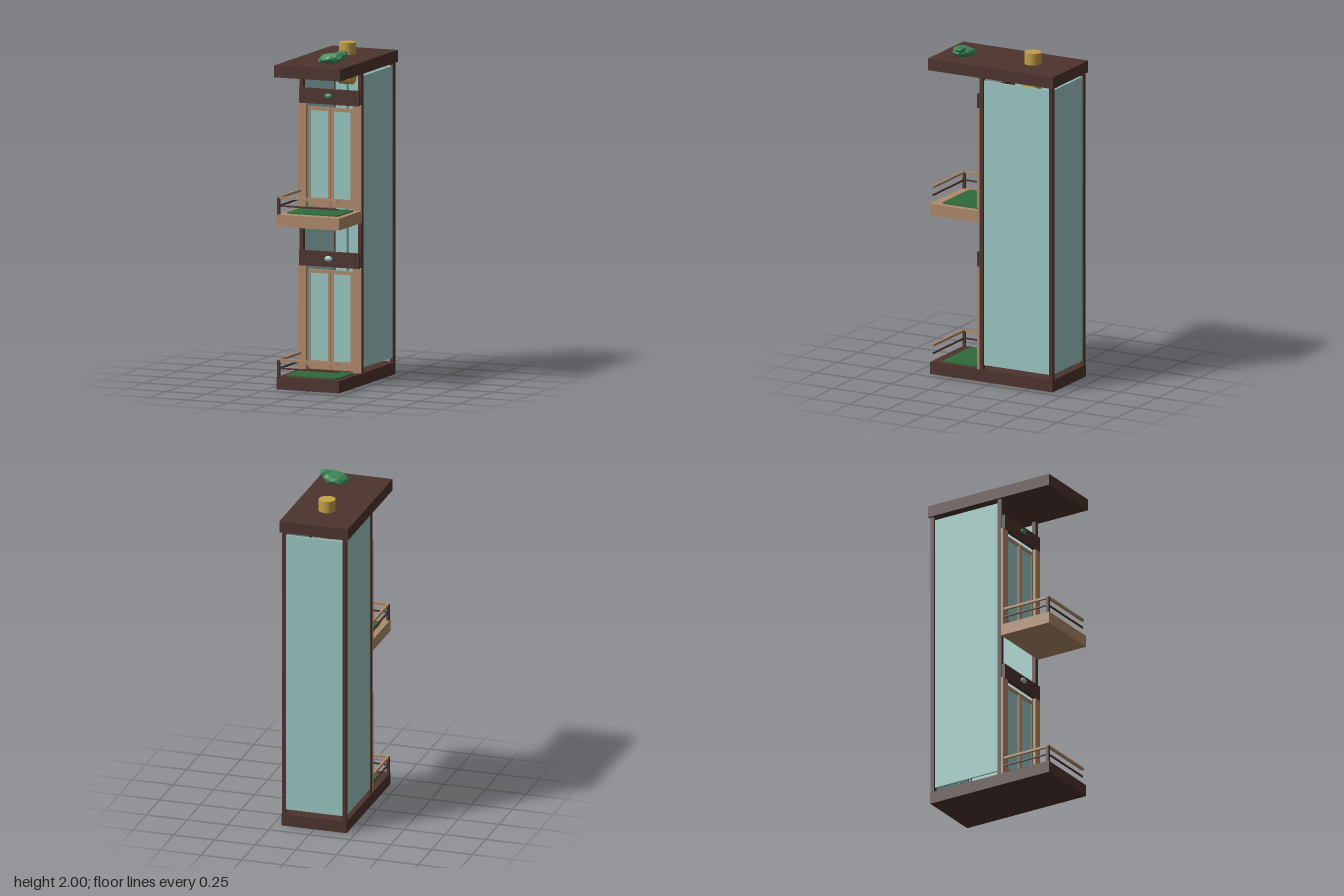
import * as THREE from 'three';

const mat = (name, color, flatShading = false) => {
  const m = new THREE.MeshStandardMaterial({ color, flatShading });
  m.name = name;
  return m;
};

export function createModel() {
  const root = new THREE.Group();
  root.name = 'glassLiftTower';
  const darkWood = mat('darkWood', 0x4e342e);
  const tanWood = mat('tanWood', 0xb08b6b);
  const glass = mat('paleGlass', 0x9ccac5);
  const gold = mat('brass', 0xc4a046);
  const steel = mat('steel', 0x5b8582);
  const moss = mat('matGreen', 0x2f6b3c);
  const leaf = mat('leafGreen', 0x3f8a58, true);
  leaf.flatShading = true;

  const add = (name, geo, material, x, y, z, parent = root) => {
    const m = new THREE.Mesh(geo, material);
    m.name = name;
    m.position.set(x, y, z);
    parent.add(m);
    return m;
  };
  // Box given by its min and max on each axis
  const box = (name, material, x0, x1, y0, y1, z0, z1, parent) =>
    add(name, new THREE.BoxGeometry(x1 - x0, y1 - y0, z1 - z0), material,
      (x0 + x1) / 2, (y0 + y1) / 2, (z0 + z1) / 2, parent);

  // Base and overhanging roof
  box('base', darkWood, -0.2, 0.2, 0, 0.072, -0.41, 0.41);
  box('roof', darkWood, -0.21, 0.21, 1.84, 1.91, -0.418, 0.418);

  // Shaft: corner posts, side glass and guide rails
  for (const s of [-1, 1]) {
    const side = (name, m, a, b, ...r) => box(name, m, Math.min(s * a, s * b), Math.max(s * a, s * b), ...r);
    side('frontPost', darkWood, 0.174, 0.198, 0.07, 1.84, 0.055, 0.08);
    side('backPost', darkWood, 0.174, 0.198, 0.07, 1.84, -0.408, -0.384);
    side('sideGlass', glass, 0.181, 0.191, 0.1, 1.82, -0.384, 0.055);
    side('guideRail', steel, 0.052, 0.062, 0.07, 1.77, -0.3, -0.29);
  }
  box('backGlass', glass, -0.174, 0.174, 0.1, 1.82, -0.4, -0.39);

  // Hoist: pulley under the roof, motor cap above
  add('motorCap', new THREE.CylinderGeometry(0.05, 0.05, 0.07, 32), gold, 0, 1.945, -0.166);
  add('pulley', new THREE.CylinderGeometry(0.05, 0.05, 0.08, 32).rotateZ(Math.PI / 2), gold, 0, 1.783, -0.16);

  // Mat outline with rounded corners
  const matShape = new THREE.Shape();
  const w = 0.165, d = 0.12, r = 0.02;
  matShape.absarc(w - r, d - r, r, 0, Math.PI / 2);
  matShape.absarc(-w + r, d - r, r, Math.PI / 2, Math.PI);
  matShape.absarc(-w + r, -d + r, r, Math.PI, Math.PI * 1.5);
  matShape.absarc(w - r, -d + r, r, Math.PI * 1.5, Math.PI * 2);
  const matGeo = new THREE.ExtrudeGeometry(matShape, { depth: 0.006, bevelEnabled: false }).rotateX(-Math.PI / 2);

  // One landing: doors, jambs, header lamp, mat and railing; y = 0 is its floor
  const landing = (name, floor, lampColour) => {
    const g = new THREE.Group();
    g.name = name;
    g.position.y = floor;
    root.add(g);
    for (const s of [-1, 1]) {
      const half = new THREE.Group();
      half.name = s > 0 ? 'leftDoorSide' : 'rightDoorSide';
      g.add(half);
      const part = (n, m, a, b, ...q) => box(n, m, Math.min(s * a, s * b), Math.max(s * a, s * b), ...q, half);
      part('jamb', tanWood, 0.148, 0.2, 0, 0.62, 0.08, 0.095);
      part('doorInnerStile', tanWood, 0.002, 0.016, 0.008, 0.595, 0.062, 0.082);
      part('doorOuterStile', tanWood, 0.128, 0.14, 0.008, 0.595, 0.062, 0.082);
      part('doorBottomRail', tanWood, 0.016, 0.128, 0.008, 0.06, 0.062, 0.082);
      part('doorTopRail', tanWood, 0.016, 0.128, 0.575, 0.595, 0.062, 0.082);
      part('doorGlass', glass, 0.016, 0.128, 0.06, 0.575, 0.068, 0.076);
    }
    box('header', darkWood, -0.19, 0.19, 0.617, 0.706, 0.076, 0.1, g);
    add('lampRim', new THREE.CylinderGeometry(0.02, 0.02, 0.012, 20).rotateX(Math.PI / 2),
      darkWood, 0, 0.664, 0.104, g);
    add('lamp', new THREE.SphereGeometry(0.025, 20, 12).scale(1, 0.68, 0.5), lampColour, 0, 0.667, 0.109, g);
    add('doorMat', matGeo, moss, 0, 0, 0.23, g);

    // Railing along the front and the model's right edge
    box('railPost', darkWood, -0.197, -0.181, 0, 0.1, 0.39, 0.406, g);
    box('frontTopRail', tanWood, -0.195, 0.188, 0.092, 0.106, 0.391, 0.405, g);
    box('sideTopRail', tanWood, -0.196, -0.182, 0.092, 0.106, 0.095, 0.405, g);
    box('frontLowRail', darkWood, -0.19, 0.185, 0.046, 0.055, 0.394, 0.402, g);
    box('sideLowRail', darkWood, -0.193, -0.185, 0.046, 0.055, 0.095, 0.4, g);
  };
  landing('lowerLanding', 0.072, glass);
  landing('upperLanding', 1.03, leaf);
  box('balconyFloor', tanWood, -0.2, 0.2, 0.96, 1.03, 0.08, 0.412);

  // Roof shrub: faceted clumps, shifted by a repeatable rule
  const shrub = new THREE.Group();
  shrub.name = 'roofShrub';
  root.add(shrub);
  const clump = (x, y, z, sx, sy, sz, detail, lean) => {
    const geo = new THREE.IcosahedronGeometry(1, detail);
    const p = geo.attributes.position;
    for (let i = 0; i < p.count; i++) {
      const [a, b, c] = [p.getX(i), p.getY(i), p.getZ(i)];
      const k = 1 + 0.1 * Math.sin(a * 7 + b * 11 + c * 5);
      p.setXYZ(i, a * k * sx + lean * b, b * k * sy, c * k * sz);
    }
    geo.computeVertexNormals();
    add('leafClump', geo, leaf, x, y, z, shrub);
  };
  clump(0.085, 1.948, 0.247, 0.074, 0.036, 0.069, 1, 0.025);
  clump(0.138, 1.973, 0.24, 0.04, 0.025, 0.035, 0, 0.01);
  clump(0.025, 1.937, 0.265, 0.022, 0.022, 0.035, 0, 0.005);

  return root;
}
